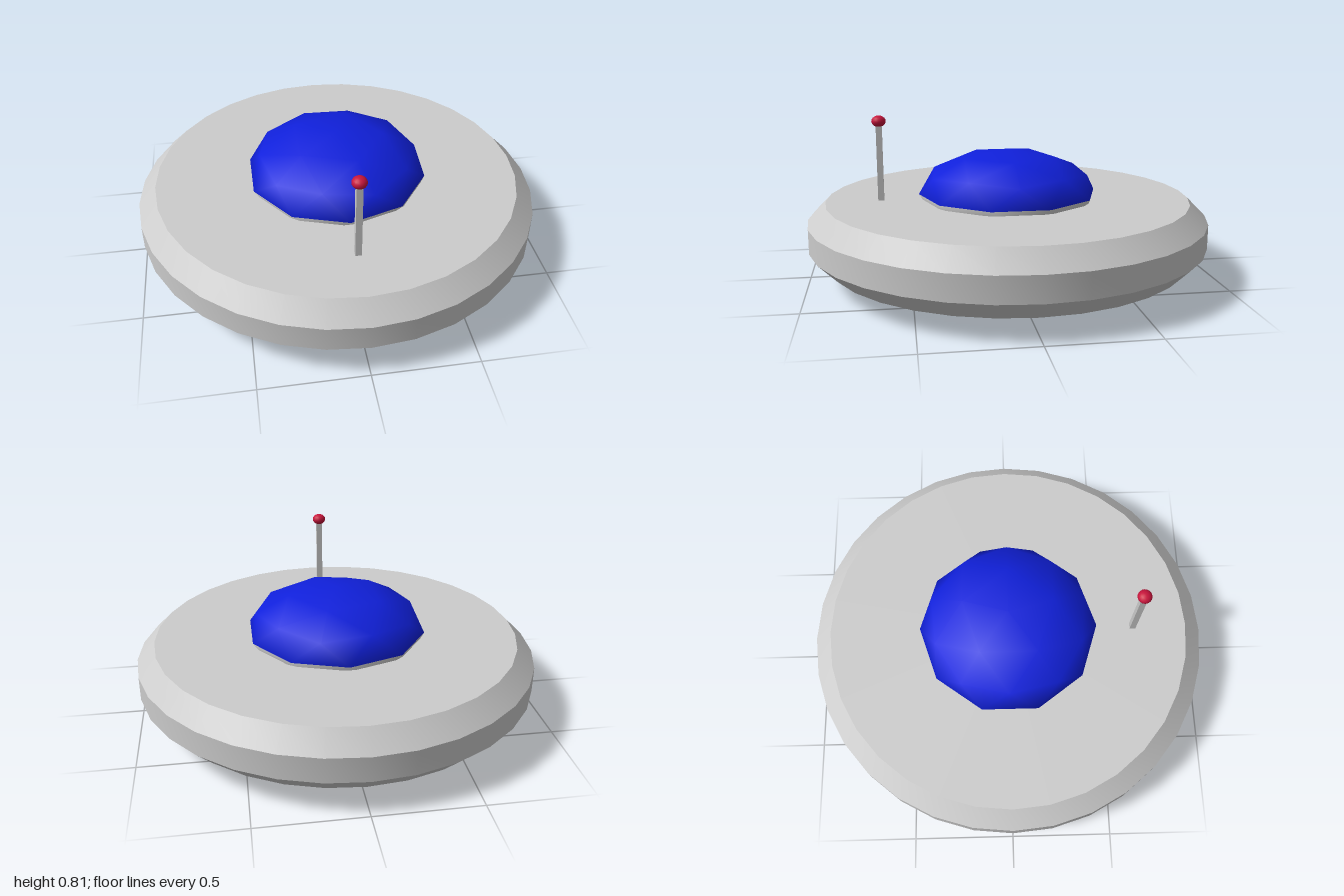
import * as THREE from 'three';
import { toCreasedNormals } from 'three/addons/utils/BufferGeometryUtils.js';

const paint = (color, flatShading = false) => new THREE.MeshStandardMaterial({ color, flatShading });

export function createModel() {
  const model = new THREE.Group();
  const grey = paint(0xcccccc);
  const flatGrey = paint(0xcccccc, true);

  const add = (name, geometry, material, x = 0, y = 0, z = 0) => {
    const mesh = new THREE.Mesh(geometry, material);
    mesh.name = name;
    mesh.position.set(x, y, z);
    model.add(mesh);
    return mesh;
  };

  // Bevelled disc, smooth around but sharp between bands
  const profile = [[0, 0.086], [0.91, 0.086], [1, 0.177], [1, 0.298], [0.91, 0.389], [0, 0.389]]
    .map(([r, y]) => new THREE.Vector2(r, y));
  add('saucerHull', toCreasedNormals(new THREE.LatheGeometry(profile, 32), 0.5), grey);

  // Flattened icosphere with a corner pointing up; the half below its equator is the grey rim
  const ball = new THREE.IcosahedronGeometry(1, 1);
  ball.rotateZ(-Math.atan(2 / (1 + Math.sqrt(5))));
  ball.scale(0.45, 0.22, 0.45);
  const pos = ball.attributes.position;
  for (let i = 0; i < pos.count; i += 3) {
    const above = pos.getY(i) + pos.getY(i + 1) + pos.getY(i + 2) > 0;
    ball.addGroup(i, 3, above ? 0 : 1);
  }
  add('cockpitDome', ball, [paint(0x1020dc), grey], 0, 0.412, 0);

  // Square hatch under the hull: straight slab, then a taper down to a coloured plate
  add('hatchSlab', new THREE.BoxGeometry(0.9, 0.05, 0.9), flatGrey, 0, 0.079, 0);
  const taper = new THREE.CylinderGeometry(0.45 * Math.SQRT2, 0.277 * Math.SQRT2, 0.054, 4);
  taper.rotateY(Math.PI / 4);
  add('hatchTaper', taper, [flatGrey, flatGrey, paint(0xc86a14, true)], 0, 0.027, 0);

  // Antenna at the front
  add('antennaPost', new THREE.BoxGeometry(0.03, 0.4, 0.03), flatGrey, 0, 0.575, 0.637);
  add('antennaTip', new THREE.SphereGeometry(0.035, 16, 10), paint(0xc8143c), 0, 0.783, 0.637)
    .scale.y = 0.8;

  return model;
}
